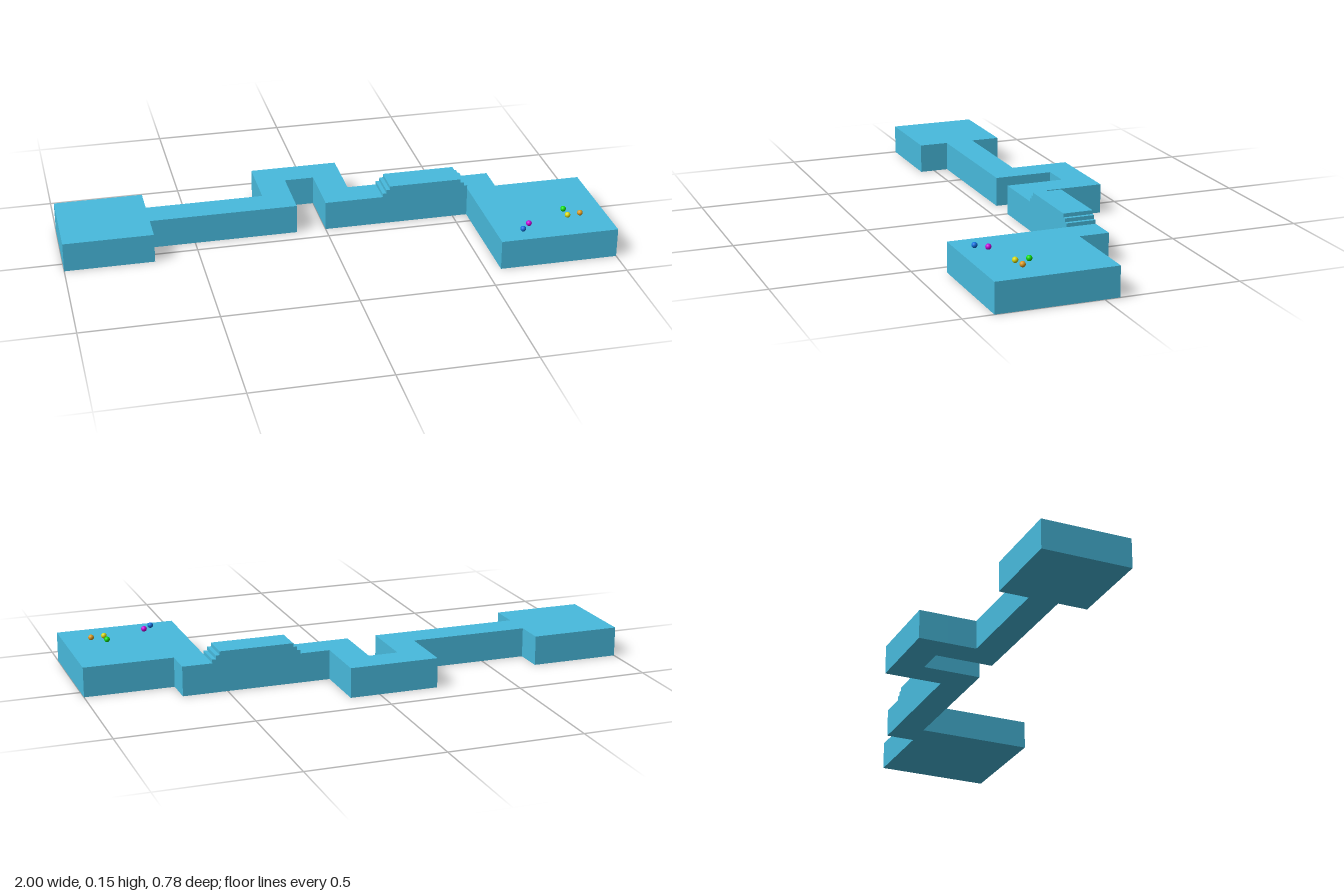
import * as THREE from 'three';

const U = 1 / 9; // edge length of one cube tile

export function createModel() {
  const model = new THREE.Group();
  const blue = new THREE.MeshStandardMaterial({ color: 0x48bbde });
  const cube = new THREE.BoxGeometry(U, U, U);

  // Block of cubes: x0, z0 is its back right corner in tile units
  function tiles(name, x0, z0, nx, nz) {
    const group = new THREE.Group();
    group.name = name;
    for (let i = 0; i < nx; i++) {
      for (let j = 0; j < nz; j++) {
        const tile = new THREE.Mesh(cube, blue);
        tile.name = 'tile';
        tile.position.set((x0 + i + 0.5) * U, U / 2, (z0 + j + 0.5) * U);
        group.add(tile);
      }
    }
    model.add(group);
  }

  // Platforms and the winding path between them
  tiles('startPlatform', -9, -2.5, 3, 3);
  tiles('firstPath', -6, -1.5, 5, 1);
  tiles('detourOut', -2, -2.5, 1, 1);
  tiles('detourBack', -2, -3.5, 3, 1);
  tiles('detourIn', 0, -2.5, 1, 1);
  tiles('secondPath', 0, -1.5, 6, 1);
  tiles('endPlatform', 5, -0.5, 4, 4);

  // Stepped ramp lying across three path tiles
  const ramp = new THREE.Group();
  ramp.name = 'steppedRamp';
  const stepHeight = U / 8;
  for (let i = 0; i < 3; i++) {
    const step = new THREE.Mesh(
      new THREE.BoxGeometry(3 * U - i * 0.028, stepHeight, U), blue);
    step.name = 'step';
    step.position.set(3.5 * U, U + (i + 0.5) * stepHeight, -U);
    ramp.add(step);
  }
  model.add(ramp);

  // Small balls on the end platform: colour, x, z
  const radius = 0.0105;
  const ballShape = new THREE.SphereGeometry(radius, 24, 16);
  const balls = [
    ['blueBall', 0x1070dd, 0.655, 0.326],
    ['magentaBall', 0xc800d8, 0.689, 0.289],
    ['greenBall', 0x10dd10, 0.85, 0.207],
    ['yellowBall', 0xd8d810, 0.85, 0.257],
    ['orangeBall', 0xdd9a20, 0.9, 0.251],
  ];
  for (const [name, color, x, z] of balls) {
    const ball = new THREE.Mesh(ballShape, new THREE.MeshStandardMaterial({ color }));
    ball.name = name;
    ball.position.set(x, 0.122, z);
    model.add(ball);
  }

  return model;
}
